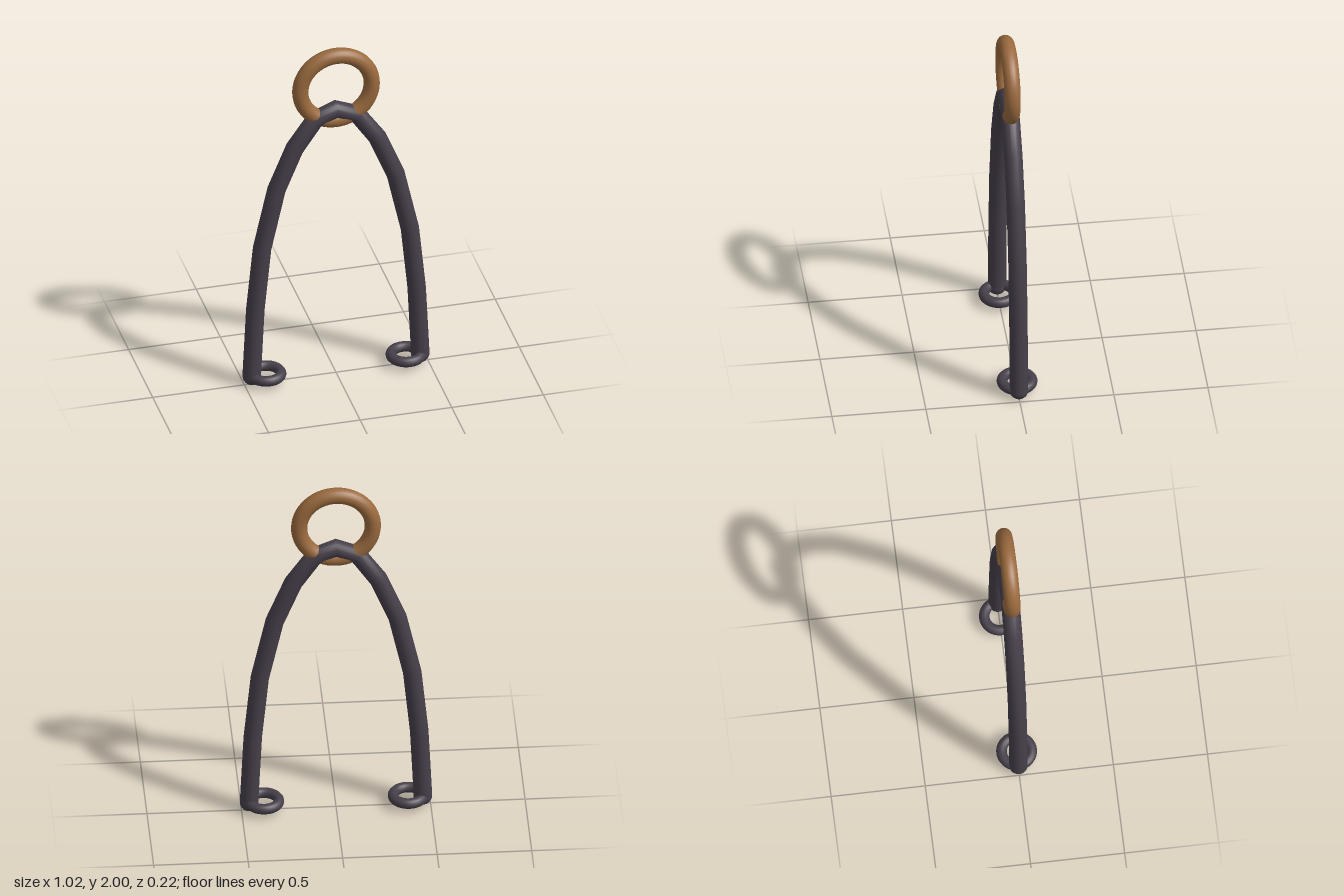
import * as THREE from 'three';

export function createModel() {
  const model = new THREE.Group();
  const iron = new THREE.MeshStandardMaterial({ color: 0x463f4a });
  iron.name = 'dark iron';
  const brass = new THREE.MeshStandardMaterial({ color: 0x9a6a3e });
  brass.name = 'aged brass';

  function add(name, geometry, material, x, y, z = 0) {
    const mesh = new THREE.Mesh(geometry, material);
    mesh.name = name;
    mesh.position.set(x, y, z);
    model.add(mesh);
    return mesh;
  }

  // Hanging ring at the top
  add('hangingRing', new THREE.TorusGeometry(0.195, 0.043, 20, 56), brass, 0, 1.762);

  // Arched bow: one bent rod, faceted along its length at the listed bends
  const half = [[0.46, 0.05], [0.44, 0.46], [0.403, 0.83], [0.325, 1.18], [0.226, 1.42], [0.115, 1.58]];
  const points = [
    ...half.map(([x, y]) => new THREE.Vector3(-x, y, 0)),
    new THREE.Vector3(0, 1.628, 0),
    ...half.slice().reverse().map(([x, y]) => new THREE.Vector3(x, y, 0)),
  ];
  const path = new THREE.CatmullRomCurve3(points);
  // Step by control point so each straight run ends exactly at a bend
  path.getPointAt = (t, target) => path.getPoint(t, target);
  path.getTangentAt = (t, target) => path.getTangent(t, target);
  add('archedBow', new THREE.TubeGeometry(path, points.length - 1, 0.049, 20), iron, 0, 0);

  // Rounded rod ends with flat eyelets turned inward
  for (const [side, s] of [['left', 1], ['right', -1]]) {
    add(side + 'RodEnd', new THREE.SphereGeometry(0.05, 20, 14), iron, s * 0.459, 0.05);
    const eyelet = add(side + 'Eyelet', new THREE.TorusGeometry(0.08, 0.028, 14, 36), iron, s * 0.382, 0.052);
    eyelet.rotation.x = Math.PI / 2;
  }
  return model;
}
